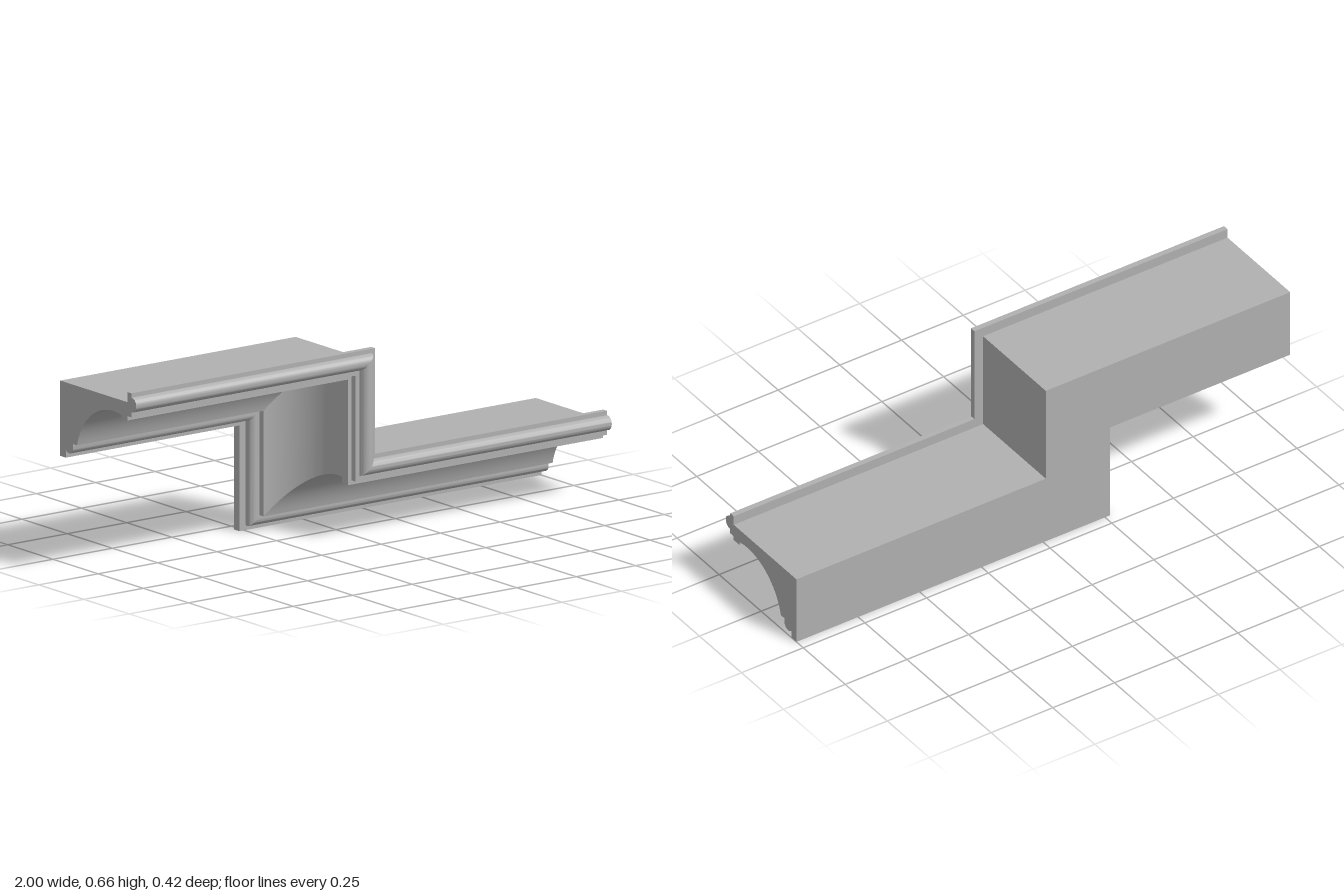
import * as THREE from 'three';
import { toCreasedNormals } from 'three/addons/utils/BufferGeometryUtils.js';

const STEP = 0.365;    // height difference between the two runs
const RISER_X = -0.27; // x of the riser's inner edge

// Points on an arc in the (z, height) plane, angles in degrees
function arc(cz, cv, r, from, to, n) {
  return Array.from({ length: n + 1 }, (_, i) => {
    const a = THREE.MathUtils.degToRad(from + (to - from) * i / n);
    return [cz + r * Math.cos(a), cv + r * Math.sin(a)];
  });
}

// Moulding cross-section, clockwise from the top back corner
const profile = [
  [-0.21, 0.26], [0.163, 0.26], [0.163, 0.295], [0.184, 0.295],  // flat top and lip
  ...arc(0.185, 0.2545, 0.0255, 92, -92, 20),                     // large bead
  [0.184, 0.212], [0.163, 0.212], [0.163, 0.197], [0.129, 0.197], // fillets
  ...arc(0.083, 0.0087, 0.2053, 77, 167, 28),                     // cove
  [-0.139, 0.055],
  ...arc(-0.161, 0.041, 0.0225, 0, -143, 14),                     // small bead
  [-0.179, 0], [-0.21, 0],
].map(([z, v]) => new THREE.Vector2(z, v));

// Stations along the path: left end, two mitred corners, right end
const stations = [
  (p) => [-1, STEP + p.y, p.x],
  (p) => [RISER_X + p.y, STEP + p.y, p.x],
  (p) => [RISER_X + p.y, p.y, p.x],
  (p) => [1, p.y, p.x],
];

// Flat end cap; facing is -1 for the left end, +1 for the right end
function addCap(out, station, facing) {
  for (const tri of THREE.ShapeUtils.triangulateShape(profile, [])) {
    const pts = tri.map((i) => profile[i]);
    const ccw = THREE.ShapeUtils.area(pts) > 0;
    if (ccw !== (facing < 0)) pts.reverse();
    pts.forEach((p) => out.push(...station(p)));
  }
}

// One straight length of moulding between two stations
function run(name, k, material) {
  const [start, end] = [stations[k], stations[k + 1]];
  const out = [];
  profile.forEach((a, i) => {
    const b = profile[(i + 1) % profile.length];
    out.push(...start(a), ...start(b), ...end(b), ...start(a), ...end(b), ...end(a));
  });
  if (k === 0) addCap(out, start, -1);
  if (k === 2) addCap(out, end, 1);
  const geometry = new THREE.BufferGeometry();
  geometry.setAttribute('position', new THREE.Float32BufferAttribute(out, 3));
  const mesh = new THREE.Mesh(toCreasedNormals(geometry, Math.PI / 7), material);
  mesh.name = name;
  return mesh;
}

export function createModel() {
  const grey = new THREE.MeshStandardMaterial({ color: 0xb0b0b0 });
  grey.name = 'plaster grey';
  const group = new THREE.Group();
  group.name = 'steppedCornice';
  ['upperRun', 'riser', 'lowerRun'].forEach((name, k) => group.add(run(name, k, grey)));
  return group;
}
